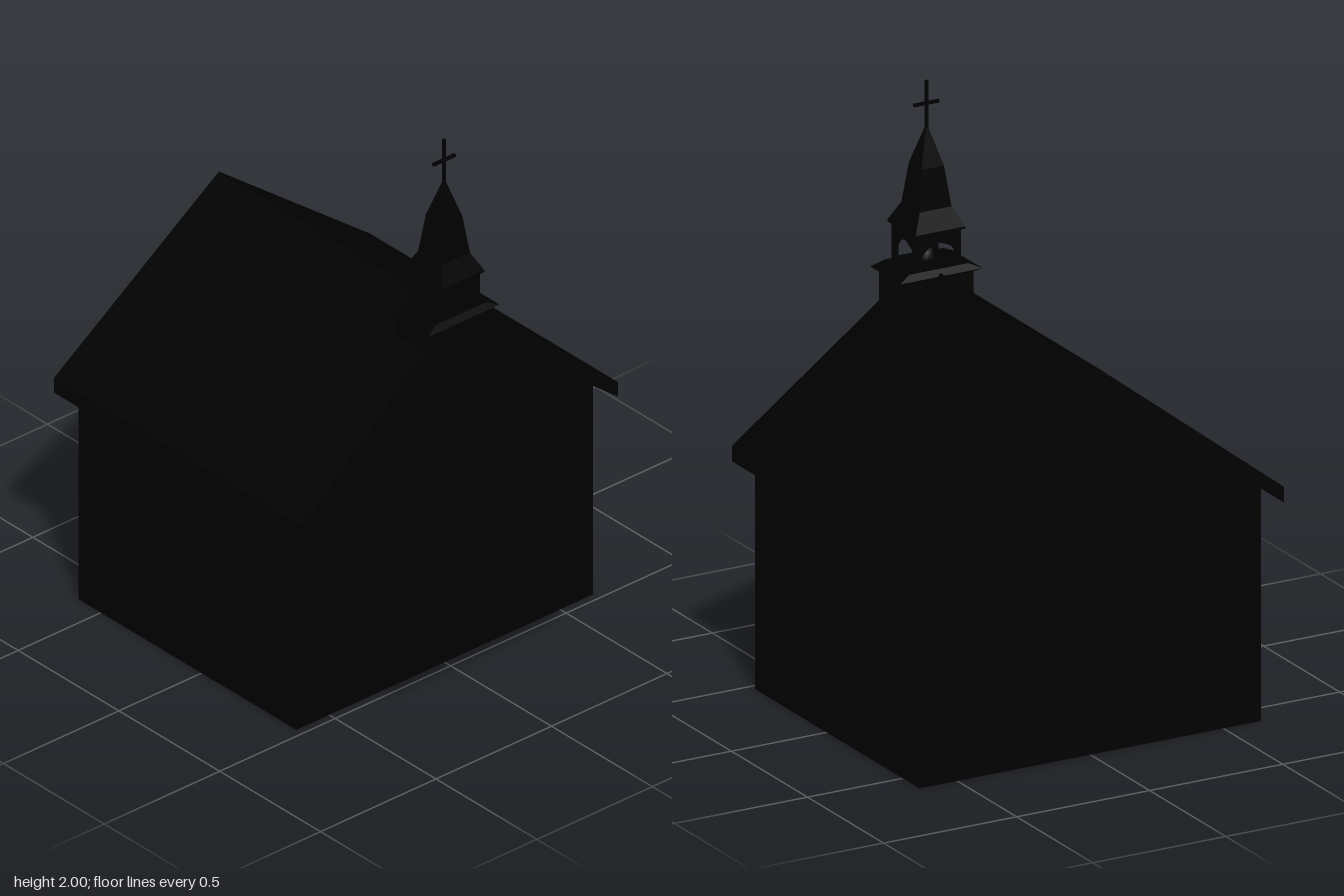
import * as THREE from 'three';

const material = new THREE.MeshStandardMaterial({ color: 0x000000, side: THREE.DoubleSide });
const TOWER_X = 0.467;

function add(parent, name, geometry, x = 0, y = 0, z = 0) {
  const mesh = new THREE.Mesh(geometry, material);
  mesh.name = name;
  mesh.position.set(x, y, z);
  parent.add(mesh);
  return mesh;
}

// Box given by its limits on each axis
function block(parent, name, [x0, x1], [y0, y1], [z0, z1]) {
  return add(parent, name, new THREE.BoxGeometry(x1 - x0, y1 - y0, z1 - z0),
    (x0 + x1) / 2, (y0 + y1) / 2, (z0 + z1) / 2);
}

// Outline drawn in the gable plane, extruded along x
function alongX(shape, x0, x1) {
  const g = new THREE.ExtrudeGeometry(shape, { depth: x1 - x0, bevelEnabled: false, curveSegments: 8 });
  return g.rotateY(Math.PI / 2).translate(x0, 0, 0);
}

function polygon(points) {
  return new THREE.Shape(points.map(([x, y]) => new THREE.Vector2(x, y)));
}

// Opening with straight jambs and a slightly pointed head
function arch(w, y0, spring, top, Type = THREE.Shape) {
  const s = new Type();
  const k = (top - spring) * 0.65;
  s.moveTo(-w, y0);
  s.lineTo(w, y0);
  s.lineTo(w, spring);
  s.quadraticCurveTo(w, spring + k, 0, top);
  s.quadraticCurveTo(-w, spring + k, -w, spring);
  s.closePath();
  return s;
}

// Rectangular block whose top differs in size from its bottom
function frustum(bottom, top, height) {
  const g = new THREE.BoxGeometry(1, height, 1).toNonIndexed();
  const p = g.attributes.position;
  for (let i = 0; i < p.count; i++) {
    const [hx, hz] = p.getY(i) > 0 ? top : bottom;
    p.setX(i, p.getX(i) * 2 * hx);
    p.setZ(i, p.getZ(i) * 2 * hz);
  }
  g.computeVertexNormals();
  return g;
}

// Raised frame with a thinner pane inside it
function framedArch(parent, name, x, z, w, y0, spring, top, depth) {
  const group = new THREE.Group();
  group.name = name;
  group.position.z = z;
  const t = 0.014;
  const frame = arch(w, y0, spring, top);
  frame.holes.push(arch(w - t, y0 + t, spring, top - t * 1.3, THREE.Path));
  add(group, name + 'Frame', alongX(frame, x - 0.005, x + depth));
  add(group, name + 'Pane', alongX(arch(w - t, y0 + t, spring, top - t * 1.3), x - 0.005, x + depth * 0.4));
  parent.add(group);
}

export function createModel() {
  const model = new THREE.Group();
  model.name = 'chapel';

  // Nave with gable ends
  add(model, 'nave', alongX(polygon([
    [-0.642, 0], [0.642, 0], [0.642, 0.815], [0, 1.315], [-0.642, 0.815],
  ]), -0.61, 0.47));

  // Roof slab, overhanging further at the eaves than at the ridge
  const roof = alongX(polygon([
    [-0.685, 0.775], [0, 1.305], [0.685, 0.775], [0.685, 0.83], [0, 1.36], [-0.685, 0.83],
  ]), -0.65, 0.512);
  const p = roof.attributes.position;
  for (let i = 0; i < p.count; i++) {
    p.setX(i, p.getX(i) + Math.sign(p.getX(i)) * Math.abs(p.getZ(i)) * 0.05);
  }
  roof.computeVertexNormals();
  add(model, 'roof', roof);

  // Tower front and its base astride the ridge
  block(model, 'towerFront', [0.46, 0.55], [0.09, 1.345], [-0.13, 0.13]);
  block(model, 'towerBase', [0.384, 0.55], [1.25, 1.345], [-0.13, 0.13]);
  add(model, 'cornice', frustum([0.085, 0.135], [0.098, 0.155], 0.01), TOWER_X, 1.345, 0);
  add(model, 'corniceSlope', frustum([0.098, 0.155], [0.083, 0.11], 0.021), TOWER_X, 1.3605, 0);

  // Entrance slab, door and windows
  block(model, 'entranceSlab', [0.47, 0.68], [0.24, 0.257], [-0.36, 0.36]);
  framedArch(model, 'door', 0.55, 0, 0.075, 0.25, 0.54, 0.655, 0.017);
  for (const side of [-1, 1]) {
    framedArch(model, side > 0 ? 'leftWindow' : 'rightWindow', 0.47, side * 0.345, 0.068, 0.43, 0.63, 0.73, 0.015);
  }
  const upper = polygon([[-0.08, 1.085], [0.08, 1.085], [0.08, 1.252], [-0.08, 1.252]]);
  upper.holes.push(polygon([[-0.066, 1.099], [0.066, 1.099], [0.066, 1.238], [-0.066, 1.238]]));
  add(model, 'upperWindowFrame', alongX(upper, 0.545, 0.567));
  block(model, 'upperWindowPane', [0.545, 0.556], [1.09, 1.247], [-0.07, 0.07]);

  // Belfry: four walls, each with an arched opening
  const belfry = new THREE.Group();
  belfry.name = 'belfry';
  belfry.position.x = TOWER_X;
  for (let i = 0; i < 4; i++) {
    const wall = polygon([[-0.083, 1.365], [0.083, 1.365], [0.083, 1.5], [-0.083, 1.5]]);
    wall.holes.push(arch(0.066, 1.376, 1.41, 1.462, THREE.Path));
    add(belfry, 'belfryWall', alongX(wall, 0.068, 0.083)).rotation.y = i * Math.PI / 2;
  }
  const bell = [[0, 1.46], [0.014, 1.458], [0.024, 1.442], [0.03, 1.41], [0.046, 1.387], [0, 1.387]];
  add(belfry, 'bell', new THREE.LatheGeometry(bell.map(([r, y]) => new THREE.Vector2(r, y)), 16));
  add(belfry, 'bellHanger', new THREE.BoxGeometry(0.012, 0.05, 0.012), 0, 1.48, 0);
  model.add(belfry);

  // Square spire with flared eaves
  const spire = [[0.093, 1.497], [0.093, 1.505], [0.06, 1.57], [0.042, 1.71], [0.005, 1.835]];
  for (let i = 0; i + 1 < spire.length; i++) {
    const [a, y0] = spire[i];
    const [b, y1] = spire[i + 1];
    add(model, 'spire', frustum([a, a], [b, b], y1 - y0), TOWER_X, (y0 + y1) / 2, 0);
  }

  // Cross
  block(model, 'crossPost', [TOWER_X - 0.005, TOWER_X + 0.005], [1.82, 2], [-0.005, 0.005]);
  block(model, 'crossArm', [TOWER_X - 0.005, TOWER_X + 0.005], [1.916, 1.926], [-0.047, 0.047]);

  return model;
}
